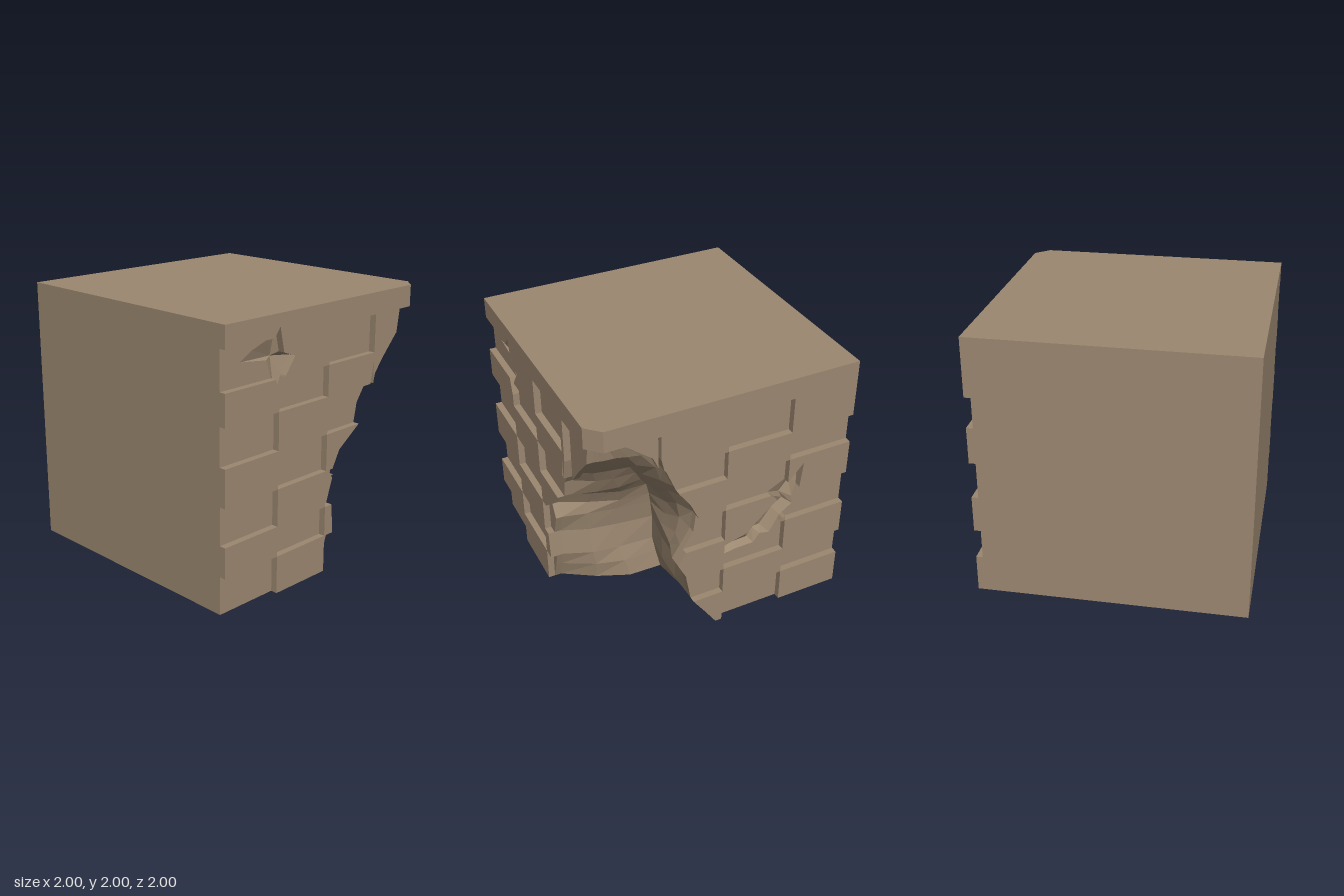
import * as THREE from 'three';

const stone = new THREE.MeshStandardMaterial({ color: 0x9b8770, flatShading: true, side: THREE.DoubleSide });
const V = (x, y) => new THREE.Vector2(x, y);
const lerp = THREE.MathUtils.lerp;
const FACE = 0.9; // plane of the core behind the brick courses

// Broken corner by height: y, front rim x, inner corner x and z, side rim z
const LEVELS = [
  [0, 0, 0.26, 0.15, 0.05], [0.15, 0.05, 0.24, 0.18, 0.15], [0.28, 0.09, 0.22, 0.2, 0.24],
  [0.5, 0.07, 0.22, 0.2, 0.28], [0.68, 0.13, 0.25, 0.23, 0.37], [0.78, 0.07, 0.27, 0.25, 0.31],
  [0.91, 0.14, 0.31, 0.29, 0.23], [1.05, 0.35, 0.41, 0.38, 0.21], [1.2, 0.38, 0.5, 0.46, 0.28],
  [1.33, 0.47, 0.58, 0.54, 0.37], [1.5, 0.68, 0.73, 0.66, 0.44], [1.65, 0.82, 0.84, 0.76, 0.54],
  [1.84, 0.85, 0.87, 0.86, 0.78], [1.84, 0.9, 0.9, 0.9, 0.9], [1.95, 0.9, 0.9, 0.9, 0.9],
];
function rim(y, k) {
  for (let i = 1; i < LEVELS.length; i++) {
    const a = LEVELS[i - 1], b = LEVELS[i];
    if (y <= b[0] && b[0] > a[0]) return lerp(a[k], b[k], (y - a[0]) / (b[0] - a[0]));
  }
  return FACE;
}

// Skin between rows of points
function loft(rows, closed) {
  const pos = [], n = rows[0].length;
  for (let i = 0; i + 1 < rows.length; i++) {
    for (let j = 0; j < (closed ? n : n - 1); j++) {
      const k = (j + 1) % n, lo = rows[i], hi = rows[i + 1];
      pos.push(...lo[j], ...lo[k], ...hi[k], ...lo[j], ...hi[k], ...hi[j]);
    }
  }
  const g = new THREE.BufferGeometry();
  g.setAttribute('position', new THREE.Float32BufferAttribute(pos, 3));
  g.computeVertexNormals();
  return g;
}

// Horizontal section of the core, with a craggy bite in one corner
function section([y, fx, cx, cz, rz], i) {
  const amp = y < 1.6 ? 0.022 : 0;
  const j = k => amp * Math.sin(i * 5.3 + k * 2.7);
  return [
    [-1, y, -1], [-1, y, FACE], [fx, y, FACE],
    [lerp(fx, cx, 0.55) + j(1), y, lerp(FACE, cz, 0.3) + j(2)],
    [lerp(fx, cx, 0.9) + j(3), y, lerp(FACE, cz, 0.62) + j(4)],
    [cx, y, cz],
    [lerp(cx, FACE, 0.4) + j(5), y, lerp(cz, rz, 0.35) + j(6)],
    [lerp(cx, FACE, 0.75) + j(7), y, lerp(cz, rz, 0.75) + j(8)],
    [FACE, y, rz], [FACE, y, -1],
  ];
}

// Keep the part of a polygon left of the line a-b
function clip(poly, a, b) {
  const side = p => (b.x - a.x) * (p.y - a.y) - (b.y - a.y) * (p.x - a.x);
  const out = [];
  poly.forEach((p, i) => {
    const q = poly[(i + 1) % poly.length], s = side(p), t = side(q);
    if (s >= 0) out.push(p);
    if (s * t < 0) out.push(p.clone().lerp(q, s / (s - t)));
  });
  return out;
}
const area = p => (p.length < 3 ? 0 : THREE.ShapeUtils.area(p));

// Cut a convex polygon out of another polygon, leaving pieces
function subtract(poly, cut) {
  if (area(cut) < 0) cut = [...cut].reverse();
  let rest = poly;
  const out = [];
  for (let i = 0; i < cut.length; i++) {
    const a = cut[i], b = cut[(i + 1) % cut.length];
    out.push(clip(rest, b, a));
    rest = clip(rest, a, b);
    if (Math.abs(area(rest)) < 1e-6) return [poly];
  }
  return out.filter(p => Math.abs(area(p)) > 1e-6);
}

const ROWS = [0, 0.28, 0.505, 0.78, 1.055, 1.33, 1.56, 1.84, 1.92];

// Courses of raised and sunk bricks; u runs towards the broken corner
function brickFace(name, cols, sunk, rimIndex, mirror, cuts) {
  const group = new THREE.Group();
  group.name = name;
  for (let r = 0; r < ROWS.length - 1; r++) {
    for (let c = 0; c < cols.length - 1; c++) {
      const [y0, y1, u0, u1] = [ROWS[r], ROWS[r + 1], cols[c], cols[c + 1]];
      const ys = [y0, ...LEVELS.map(l => l[0]).filter((y, i, all) => y > y0 + 0.01 && y < y1 - 0.01 && y !== all[i - 1]), y1];
      const edge = ys.map(y => V(Math.max(u0, Math.min(u1, r === 7 ? FACE : rim(y, rimIndex))), y));
      if (edge.every(p => p.x - u0 < 0.005)) continue;
      let pieces = [[V(u0, y0), ...edge, V(u0, y1)]];
      for (const cut of cuts) pieces = pieces.flatMap(p => subtract(p, cut));
      const depth = sunk[c].includes(r) ? 0.05 : 0.1;
      for (const p of pieces) {
        const shape = new THREE.Shape(p.map(q => V(mirror ? -q.x : q.x, q.y)));
        const brick = new THREE.Mesh(new THREE.ExtrudeGeometry(shape, { depth, bevelEnabled: false }), stone);
        brick.name = 'brick';
        group.add(brick);
      }
    }
  }
  return group;
}

export function createModel() {
  const model = new THREE.Group();
  model.name = 'brokenStoneBlock';
  const add = (parent, geo, name) => {
    const m = new THREE.Mesh(geo, stone);
    m.name = name;
    parent.add(m);
    return m;
  };

  // Core with the broken corner, and its underside
  const rings = LEVELS.map(section);
  add(model, loft(rings, true), 'core');
  const base = new THREE.ShapeGeometry(new THREE.Shape(rings[0].map(p => V(p[0], p[2]))));
  add(model, base.rotateX(Math.PI / 2), 'underside');

  // Top slab with a chamfered corner
  const slab = (pts, y, h, name) => {
    const shape = new THREE.Shape(pts.map(([x, z]) => V(x, -z)));
    const g = new THREE.ExtrudeGeometry(shape, { depth: h, bevelEnabled: false });
    add(model, g.rotateX(-Math.PI / 2).translate(0, y, 0), name);
  };
  slab([[-1, -1], [-1, 1], [0.9, 1], [1, 0.9], [1, -1]], 1.92, 0.08, 'topSlab');
  slab([[0.9, 0.9], [0.9, 1], [1, 0.9]], 1.84, 0.08, 'topCorner');

  // Star-shaped chip in the front
  const centre = V(-0.5, 1.7);
  const star = [[-0.5, 1.91], [-0.46, 1.73], [-0.35, 1.69], [-0.44, 1.57], [-0.5, 1.43],
    [-0.54, 1.58], [-0.58, 1.69], [-0.82, 1.72], [-0.71, 1.78], [-0.56, 1.83]].map(p => V(...p));
  const starCuts = star.map((p, i) => [centre, p, star[(i + 1) % star.length]]);

  // Crescent-shaped chip in the side, as (z, y) pairs of lower and upper edge
  const low = [[0, 0.6], [-0.13, 0.62], [-0.27, 0.62], [-0.32, 0.69], [-0.4, 0.67], [-0.48, 0.81],
    [-0.58, 0.88], [-0.57, 0.95], [-0.6, 1.06], [-0.62, 1.26]].map(p => V(...p));
  const high = [[0, 0.67], [-0.1, 0.7], [-0.19, 0.72], [-0.2, 0.8], [-0.25, 0.85], [-0.36, 0.95],
    [-0.42, 1.0], [-0.36, 1.06], [-0.5, 1.13], [-0.615, 1.26]].map(p => V(...p));
  const crescentCuts = [];
  for (let i = 0; i + 1 < low.length; i++) {
    crescentCuts.push([low[i], low[i + 1], high[i + 1]], [low[i], high[i + 1], high[i]]);
  }

  // Front courses
  const front = brickFace('frontBricks', [-1, -0.5, 0, 0.5, 0.54, FACE],
    [[0, 2, 4, 6], [1, 3, 5], [0, 2, 4, 6], [], [5, 6]], 1, false, starCuts);
  front.position.z = FACE;
  const starRow = star.map(p => [p.x, p.y, 0.05]);
  add(front, loft([starRow, star.map(() => [centre.x, centre.y, 0.005])], true), 'frontChip');
  model.add(front);

  // Side courses
  const side = brickFace('sideBricks', [-1, -0.5, 0, 0.5, FACE],
    [[1, 3, 5], [0, 2, 4, 6], [1, 3, 5], [6]], 4, true, crescentCuts);
  side.position.x = FACE;
  side.rotation.y = Math.PI / 2;
  const row = (pts, w) => pts.map(p => [-p.x, p.y, w]);
  const mid = low.map((p, i) => p.clone().lerp(high[i], 0.4));
  add(side, loft([row(low, 0.05), row(mid, 0.005), row(high, 0.05)], false), 'sideChip');
  model.add(side);

  return model;
}
